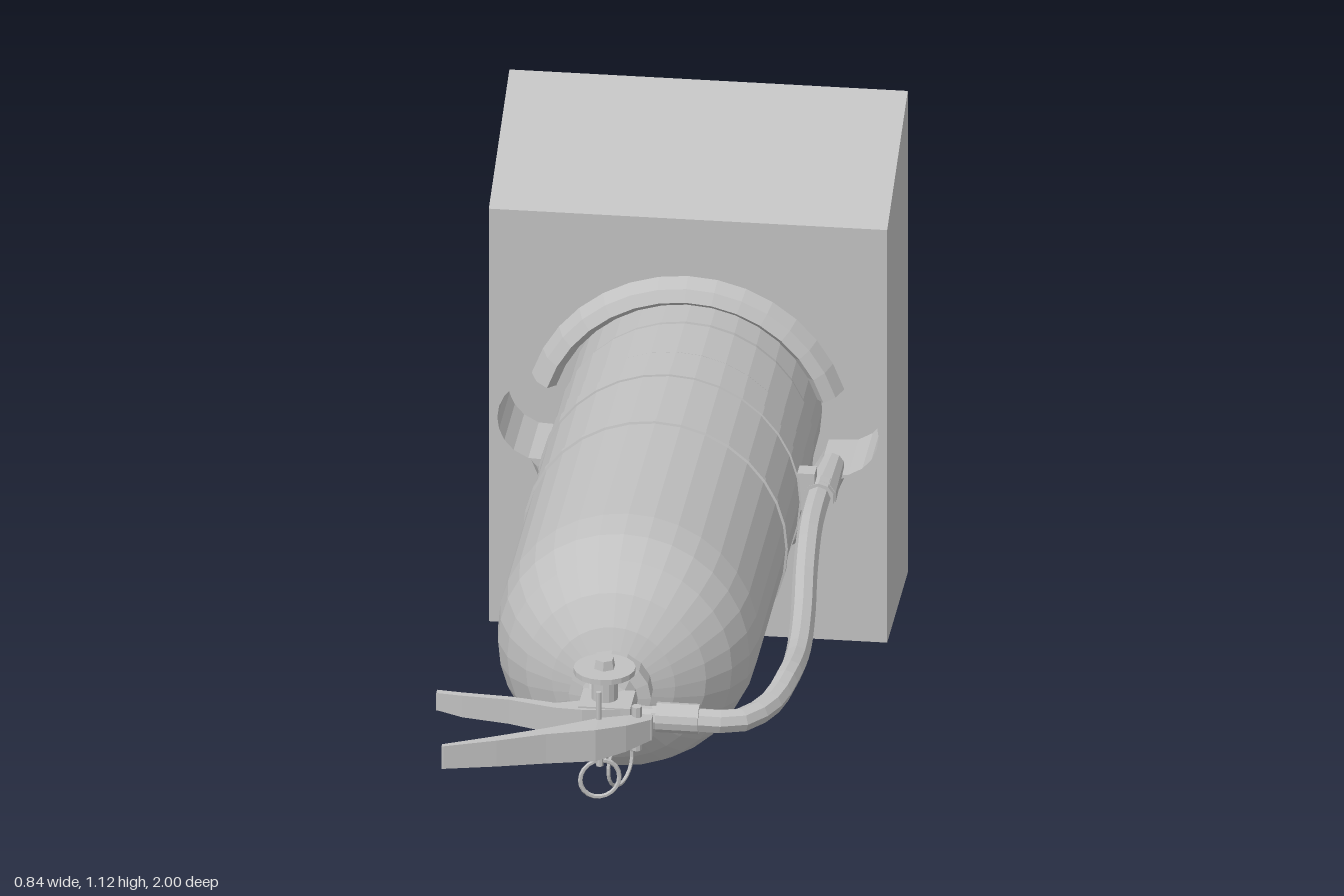
import * as THREE from 'three';

export function createModel() {
  const root = new THREE.Group();
  const CY = 0.467; // height of the tank axis
  const grey = new THREE.MeshStandardMaterial({ color: 0xc0c0c0, flatShading: true, side: THREE.DoubleSide });
  grey.name = 'plain grey';
  const V = (x, y, z) => new THREE.Vector3(x, y, z);

  const add = (name, geo, x = 0, y = 0, z = 0, parent = root) => {
    const m = new THREE.Mesh(geo, grey);
    m.name = name;
    m.position.set(x, y, z);
    parent.add(m);
    return m;
  };
  // surface through cross-sections with equal point counts
  const loft = (sections, closed = true) => {
    const pos = [], idx = [], n = sections[0].length;
    sections.forEach(s => s.forEach(p => pos.push(p.x, p.y, p.z)));
    for (let i = 0; i < sections.length - 1; i++) {
      for (let j = 0; j < (closed ? n : n - 1); j++) {
        const a = i * n + j, b = i * n + (j + 1) % n;
        idx.push(a, b, b + n, a, b + n, a + n);
      }
    }
    const g = new THREE.BufferGeometry();
    g.setAttribute('position', new THREE.Float32BufferAttribute(pos, 3));
    g.setIndex(idx);
    g.computeVertexNormals();
    return g;
  };
  // profile of [radius, z] turned about the tank axis
  const latheZ = (name, profile, sides = 32) => add(name,
    new THREE.LatheGeometry(profile.map(p => new THREE.Vector2(...p)), sides).rotateX(Math.PI / 2), 0, CY, 0);

  // Wall cabinet: open back, sloping top, front panel with a round eared opening
  const W = 0.42, ZB = -1, ZF = -0.655, HF = 0.955, HB = 1.115;
  add('cabinetShell', loft([
    [V(-W, 0, ZB), V(W, 0, ZB), V(W, HB, ZB), V(-W, HB, ZB)],
    [V(-W, 0, ZF), V(W, 0, ZF), V(W, HF, ZF), V(-W, HF, ZF)],
  ]));
  const outline = [];
  const R = 0.29, earX = 0.307, earR = 0.095;
  for (let i = 0; i < 96; i++) {
    const a = i / 96 * Math.PI * 2;
    const k = earR ** 2 - (earX * Math.sin(a)) ** 2;
    const r = k > 0 ? Math.max(R, earX * Math.abs(Math.cos(a)) + Math.sqrt(k)) : R;
    outline.push(new THREE.Vector2(r * Math.cos(a), CY + 0.006 + r * Math.sin(a)));
  }
  const panel = new THREE.Shape([[-W, 0], [W, 0], [W, HF], [-W, HF]].map(p => new THREE.Vector2(...p)));
  panel.holes.push(new THREE.Path(outline));
  add('cabinetFront', new THREE.ShapeGeometry(panel), 0, 0, ZF);

  // Recess that holds the tank foot
  const ZR = -0.83;
  add('recessWall', loft([ZF, ZR].map(z => outline.map(p => V(p.x, p.y, z)))));
  add('recessBack', new THREE.ShapeGeometry(new THREE.Shape(outline)), 0, 0, ZR);

  // Flared collar, an arc above and an arc below the ears
  const collar = [[0.345, -0.655], [0.33, -0.622], [0.305, -0.608], [0.288, -0.635], [0.288, -0.68]];
  for (const s of [1, -1]) {
    const sections = [];
    for (let i = 0; i <= 14; i++) {
      const a = s * (0.3 + (Math.PI - 0.6) * i / 14);
      sections.push(collar.map(([r, z]) => V(r * Math.cos(a), CY + 0.012 + r * Math.sin(a), z)));
    }
    add(s > 0 ? 'upperCollar' : 'lowerCollar', loft(sections, false));
  }

  // Tank with domed shoulder, neck and bands
  latheZ('tank', [[0, -0.82], [0.25, -0.82], [0.266, -0.79], [0.268, -0.62], [0.273, -0.6], [0.273, -0.46],
    [0.275, -0.455], [0.275, 0.34], [0.265, 0.42], [0.237, 0.49], [0.19, 0.55], [0.13, 0.592], [0.082, 0.612], [0, 0.615]]);
  latheZ('weldBand', [[0.273, -0.118], [0.28, -0.116], [0.28, -0.104], [0.273, -0.102]]);
  latheZ('hoseStrap', [[0.273, -0.378], [0.279, -0.377], [0.279, -0.337], [0.273, -0.336]]);
  latheZ('neck', [[0.085, 0.595], [0.087, 0.655], [0.06, 0.662], [0.052, 0.7], [0.04, 0.72], [0, 0.72]], 16);

  // Valve body, top knob, and pin
  const cyl = (r1, r2, h, n = 14) => new THREE.CylinderGeometry(r1, r2, h, n);
  const valve = new THREE.Group();
  valve.name = 'valve';
  root.add(valve);
  add('valveStem', cyl(0.027, 0.03, 0.16), 0, 0.485, 0.74, valve);
  add('valveCore', new THREE.BoxGeometry(0.11, 0.075, 0.09), 0.005, CY, 0.745, valve);
  add('knob', cyl(0.065, 0.065, 0.012, 18), 0, 0.57, 0.742, valve);
  add('knobNut', cyl(0.02, 0.024, 0.022, 6), 0, 0.585, 0.742, valve);
  add('leverPin', cyl(0.006, 0.006, 0.13, 8), 0, 0.5, 0.842, valve);
  add('crossPin', cyl(0.011, 0.011, 0.1, 8), 0.075, CY, 0.8, valve);
  add('dialGauge', cyl(0.034, 0.034, 0.04).rotateX(Math.PI / 2), 0, 0.392, 0.69, valve);

  // Handles: stations of [x, z, half height, half thickness]
  const handle = (name, st) => {
    const g = loft(st.map(([x, z, h, t]) => [V(x, CY - h, z - t), V(x, CY + h, z - t), V(x, CY + h, z + t), V(x, CY - h, z + t)]));
    add(name, g);
    const [a, b] = [st[0], st[st.length - 1]];
    for (const [x, z, h, t] of [a, b]) {
      add(name + 'End', new THREE.BoxGeometry(0.004, h * 2, t * 2), x, CY, z);
    }
  };
  handle('carryHandle', [[-0.355, 0.718, 0.02, 0.008], [-0.3, 0.735, 0.025, 0.008], [-0.2, 0.748, 0.028, 0.008],
    [-0.1, 0.775, 0.03, 0.012], [-0.04, 0.775, 0.034, 0.024], [0.04, 0.76, 0.034, 0.03]]);
  handle('squeezeLever', [[-0.31, 0.99, 0.026, 0.006], [-0.2, 0.95, 0.03, 0.012], [-0.1, 0.91, 0.034, 0.016],
    [0, 0.868, 0.036, 0.03], [0.06, 0.83, 0.03, 0.026], [0.105, 0.795, 0.024, 0.014]]);

  // Hose along the side with its coupling, nozzle and clip
  const path = new THREE.CatmullRomCurve3([
    [0.1, 0.465, 0.74], [0.2, 0.465, 0.742], [0.28, 0.46, 0.725], [0.335, 0.465, 0.65], [0.36, 0.475, 0.53],
    [0.362, 0.46, 0.38], [0.35, 0.46, 0.2], [0.33, 0.47, 0], [0.316, 0.48, -0.2], [0.315, 0.478, -0.4]].map(p => V(...p)));
  add('hose', new THREE.TubeGeometry(path, 28, 0.026, 8));
  add('hoseCoupling', cyl(0.032, 0.032, 0.09, 12).rotateZ(Math.PI / 2), 0.155, CY, 0.742);
  add('hoseInlet', cyl(0.022, 0.022, 0.08, 10).rotateZ(Math.PI / 2), 0.08, CY, 0.742);
  add('nozzle', cyl(0.026, 0.036, 0.16, 10).rotateX(-Math.PI / 2), 0.319, 0.476, -0.43).rotation.y = -0.04;
  add('hoseClip', cyl(0.034, 0.034, 0.042, 10).rotateX(Math.PI / 2), 0.315, 0.478, -0.357);
  add('clipArm', new THREE.BoxGeometry(0.05, 0.085, 0.04), 0.282, 0.49, -0.357);

  // Safety rings
  const pull = add('pullRing', new THREE.TorusGeometry(0.05, 0.004, 6, 22), 0.022, 0.315, 0.655);
  pull.rotation.set(0, Math.PI / 2 - 0.4, 0.15);
  const small = add('pinRing', new THREE.TorusGeometry(0.042, 0.005, 6, 20), 0.005, 0.375, 0.862);
  small.rotation.y = 0.35;
  add('pinLink', cyl(0.008, 0.008, 0.04, 8), 0.005, 0.425, 0.862);

  return root;
}
